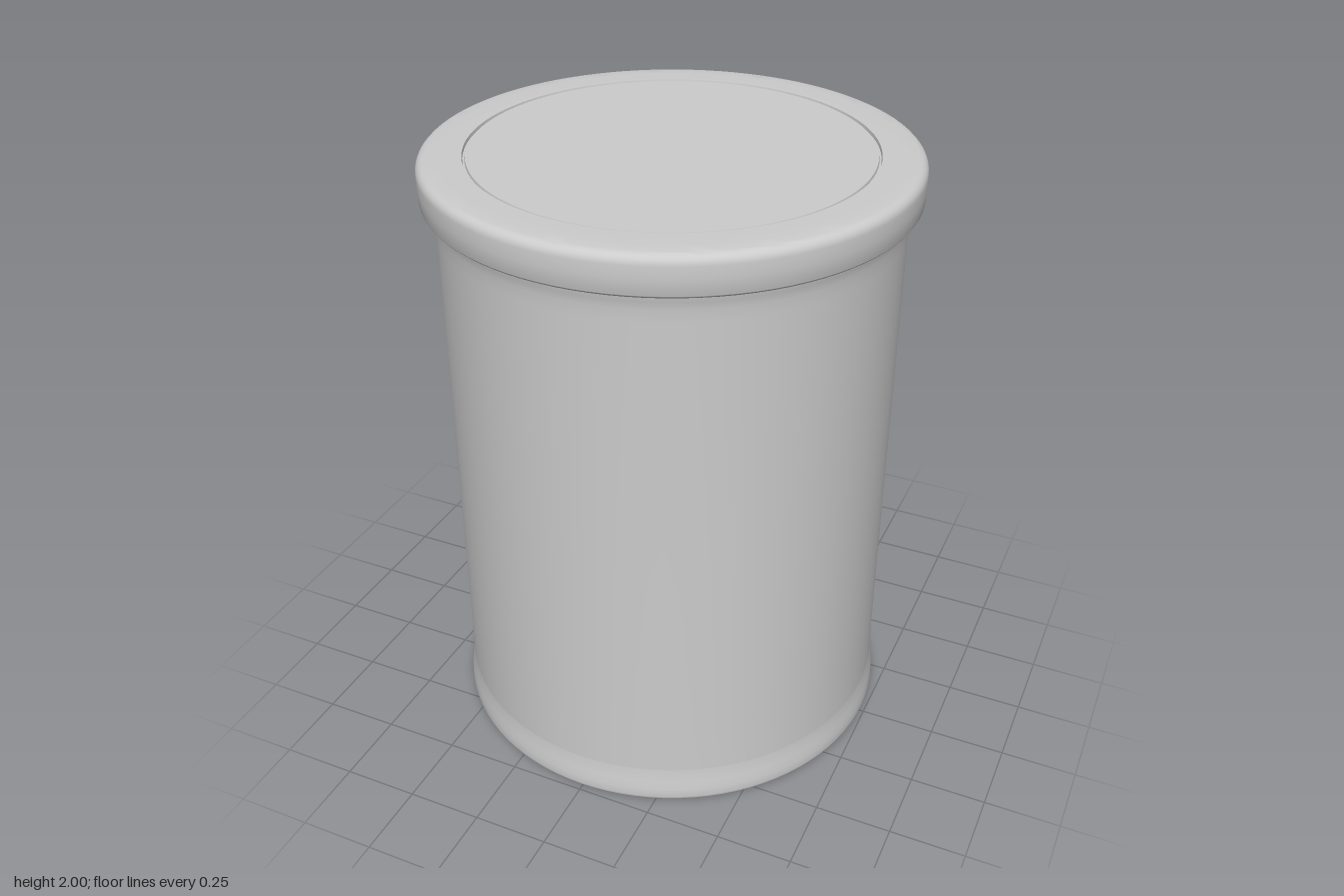
import * as THREE from 'three';
import { toCreasedNormals } from 'three/addons/utils/BufferGeometryUtils.js';

const material = new THREE.MeshStandardMaterial({ color: 0xcccccc });

// Quarter-round corner as profile points, from angle a0 to a1 in degrees
function arc(cx, cy, rx, ry, a0, a1, steps = 5) {
  return Array.from({ length: steps + 1 }, (_, i) => {
    const a = THREE.MathUtils.degToRad(a0 + ((a1 - a0) * i) / steps);
    return [cx + rx * Math.cos(a), cy + ry * Math.sin(a)];
  });
}

// Turned part from a profile of [radius, height] points, bottom to top
function turned(name, profile) {
  const points = profile.map(([r, y]) => new THREE.Vector2(r, y));
  const geometry = toCreasedNormals(new THREE.LatheGeometry(points, 96), 0.6);
  const mesh = new THREE.Mesh(geometry, material);
  mesh.name = name;
  return mesh;
}

export function createModel() {
  const group = new THREE.Group();
  group.name = 'canister';

  // Base: grooved underside, rounded foot and a short flare into the wall
  group.add(turned('base', [
    [0, 0.006], [0.59, 0.006], [0.594, 0.014], [0.602, 0.014], [0.606, 0.004],
    [0.66, 0],
    ...arc(0.715, 0.022, 0.024, 0.022, -90, 0),
    [0.737, 0.05], [0.732, 0.08], [0.728, 0.105], [0.726, 0.13],
  ]));

  // Straight wall, widening slightly under the lid
  group.add(turned('body', [
    [0.726, 0.13], [0.725, 0.3], [0.725, 1.78], [0.726, 1.82],
    [0.729, 1.845], [0.735, 1.865], [0.735, 1.875],
  ]));

  // Lid rim with rounded edges
  group.add(turned('lidRim', [
    [0.7, 1.87],
    ...arc(0.75, 1.887, 0.018, 0.017, -90, 0),
    [0.77, 1.93],
    ...arc(0.74, 1.968, 0.03, 0.03, 0, 90),
    [0.7, 2], [0.631, 2], [0.629, 1.99],
  ]));

  // Flat lid panel, set apart from the rim by a fine groove
  group.add(turned('lidPanel', [
    [0.629, 1.99], [0.623, 1.99], [0.621, 1.998], [0, 1.998],
  ]));

  return group;
}
